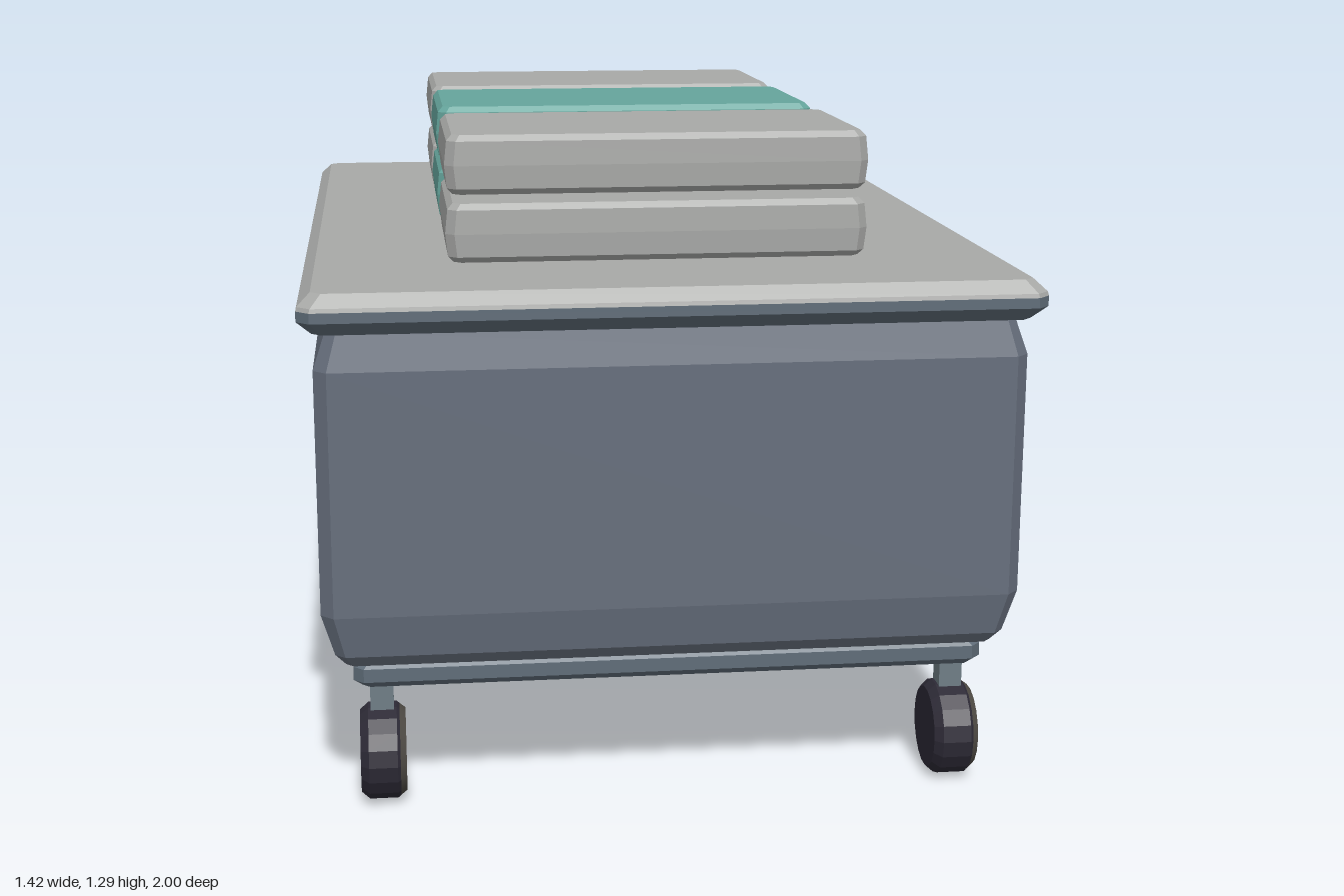
import * as THREE from 'three';

const mat = (name, color) => {
  const m = new THREE.MeshStandardMaterial({ color });
  m.name = name;
  return m;
};

// Rectangular solid with cut corners, lofted through rings [y, halfX, halfZ, cut]
function loft(rings) {
  const pts = rings.map(([y, x, z, c]) => [
    [x, z - c], [x - c, z], [c - x, z], [-x, z - c],
    [-x, c - z], [c - x, -z], [x - c, -z], [x, c - z],
  ].map(([px, pz]) => [px, y, pz]));
  const pos = [];
  const tri = (a, b, c) => pos.push(...a, ...b, ...c);
  for (let r = 0; r < pts.length - 1; r++) {
    for (let i = 0; i < 8; i++) {
      const j = (i + 1) % 8;
      const [a, b, c, d] = [pts[r][i], pts[r][j], pts[r + 1][j], pts[r + 1][i]];
      tri(a, c, b);
      tri(a, d, c);
    }
  }
  const bottom = pts[0], top = pts[pts.length - 1];
  for (let i = 1; i < 7; i++) {
    tri(bottom[0], bottom[i], bottom[i + 1]);
    tri(top[0], top[i + 1], top[i]);
  }
  const g = new THREE.BufferGeometry();
  g.setAttribute('position', new THREE.Float32BufferAttribute(pos, 3));
  g.computeVertexNormals();
  return g;
}

export function createModel() {
  const root = new THREE.Group();
  root.name = 'storageTrolley';
  const slate = mat('slate body', 0x666e7c);
  const steel = mat('blue steel', 0x5f6c78);
  const grey = mat('light grey', 0xa8a9a7);
  const teal = mat('teal', 0x65a59c);
  const rubber = mat('dark rubber', 0x2d2a36);
  const hub = mat('brown grey hub', 0x4e4a44);
  const stem = mat('stem metal', 0x6f7d85);

  // facing is checked so every loft winds outward
  const add = (name, geo, material, x = 0, y = 0, z = 0, parent = root) => {
    const m = new THREE.Mesh(geo, material);
    m.name = name;
    m.position.set(x, y, z);
    parent.add(m);
    return m;
  };
  const outward = (rings) => {
    const g = loft(rings);
    const n = g.getAttribute('normal'), p = g.getAttribute('position');
    if (n.getX(0) * p.getX(0) + n.getZ(0) * p.getZ(0) < 0) {
      for (let i = 0; i < p.count; i += 3) {
        const a = new THREE.Vector3().fromBufferAttribute(p, i + 1);
        const b = new THREE.Vector3().fromBufferAttribute(p, i + 2);
        p.setXYZ(i + 1, b.x, b.y, b.z);
        p.setXYZ(i + 2, a.x, a.y, a.z);
      }
      g.computeVertexNormals();
    }
    return g;
  };

  // Cabinet with tall, shallow chamfers
  add('body', outward([
    [0.30, 0.64, 0.93, 0.015], [0.325, 0.66, 0.95, 0.02], [0.41, 0.685, 0.967, 0.025],
    [0.89, 0.685, 0.967, 0.025], [0.965, 0.66, 0.95, 0.02],
  ]), slate);

  // Lower frame
  add('chassis', outward([
    [0.245, 0.61, 0.90, 0.015], [0.258, 0.627, 0.912, 0.02],
    [0.285, 0.627, 0.912, 0.02], [0.298, 0.61, 0.90, 0.015],
  ]), steel);

  // Lid rim and light top
  add('lidRim', outward([
    [0.963, 0.685, 0.972, 0.02], [0.99, 0.712, 1.0, 0.025], [1.01, 0.712, 1.0, 0.025],
  ]), steel);
  add('lidTop', outward([
    [1.01, 0.712, 1.0, 0.025], [1.018, 0.71, 0.998, 0.025], [1.042, 0.685, 0.975, 0.02],
  ]), grey);

  // Three stacks of two cushions
  const cushion = outward([
    [0, 0.41, 0.213, 0.015], [0.012, 0.421, 0.224, 0.018], [0.058, 0.426, 0.226, 0.018],
    [0.106, 0.421, 0.224, 0.018], [0.118, 0.41, 0.213, 0.015],
  ]);
  [[0.455, grey], [-0.115, teal], [-0.635, grey]].forEach(([z, m]) => {
    for (const y of [1.042, 1.178]) add('cushion', cushion, m, 0, y, z);
  });

  // Casters
  const profile = [[0, -0.044], [0.082, -0.044], [0.096, -0.028], [0.096, 0.028], [0.082, 0.044], [0, 0.044]]
    .map(([r, h]) => new THREE.Vector2(r, h));
  const tyre = new THREE.LatheGeometry(profile, 18).toNonIndexed();
  tyre.computeVertexNormals();
  tyre.rotateZ(-Math.PI / 2);
  const cap = new THREE.CylinderGeometry(0.082, 0.095, 0.017, 18).rotateZ(-Math.PI / 2);
  const post = new THREE.BoxGeometry(0.046, 0.09, 0.046);
  for (const x of [-0.573, 0.573]) {
    for (const z of [-0.857, 0.857]) {
      const caster = new THREE.Group();
      caster.name = 'caster';
      caster.position.set(x, 0, z);
      root.add(caster);
      add('wheel', tyre, rubber, 0, 0.096, 0, caster);
      add('hubFace', cap, hub, 0.037, 0.096, 0, caster);
      add('stem', post, stem, 0, 0.215, 0, caster);
    }
  }
  return root;
}
